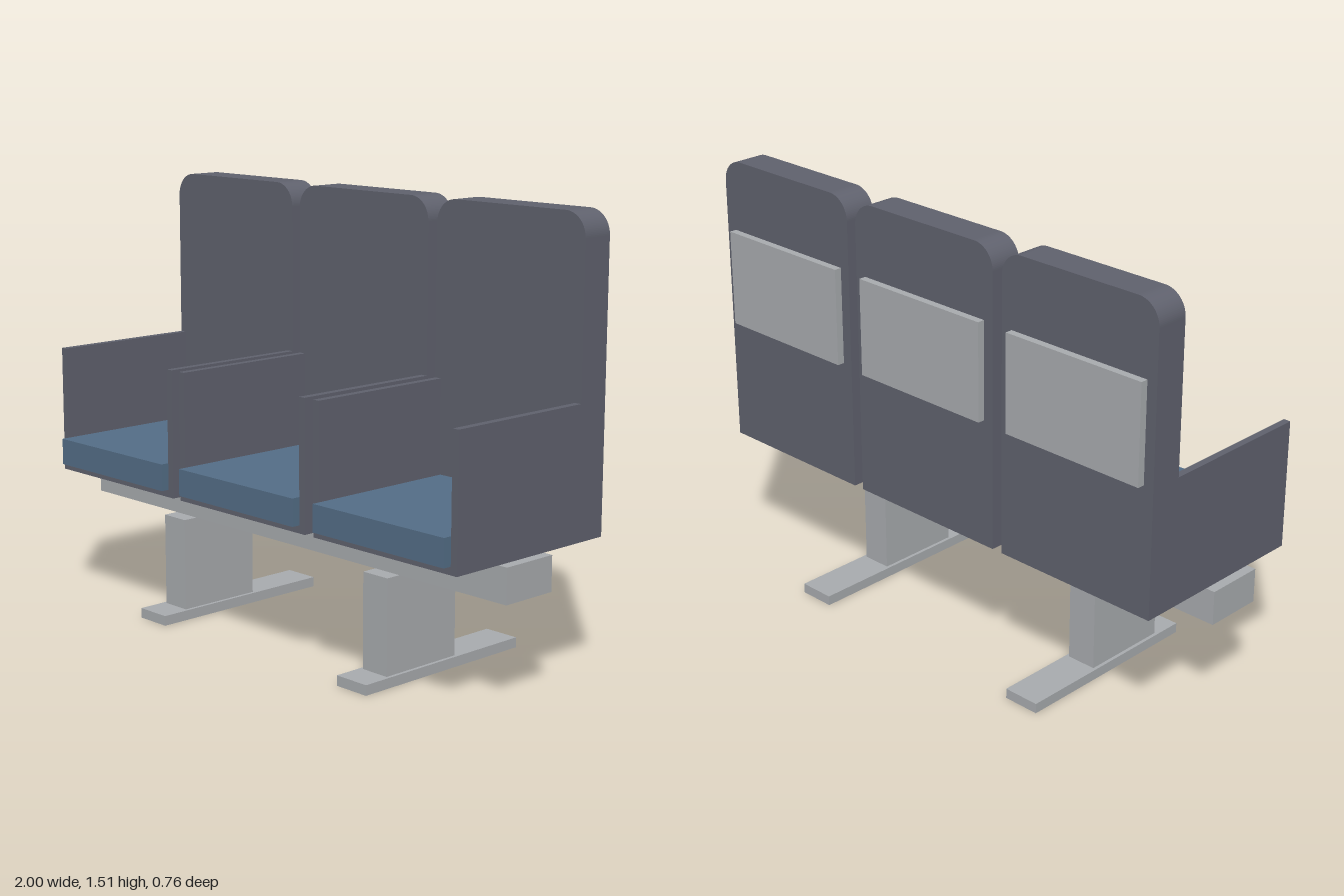
import * as THREE from 'three';

export function createModel() {
  const model = new THREE.Group();
  model.name = 'benchSeating';
  const material = (name, color) => {
    const m = new THREE.MeshStandardMaterial({ color });
    m.name = name;
    return m;
  };
  const shell = material('darkGrey', 0x60626e);
  const metal = material('lightGrey', 0xa9acaf);
  const fabric = material('blue', 0x546e87);

  // Box given by its limits on each axis
  const box = (parent, name, mat, [x0, x1], [y0, y1], [z0, z1]) => {
    const mesh = new THREE.Mesh(new THREE.BoxGeometry(x1 - x0, y1 - y0, z1 - z0), mat);
    mesh.position.set((x0 + x1) / 2, (y0 + y1) / 2, (z0 + z1) / 2);
    mesh.name = name;
    parent.add(mesh);
  };

  // Backrest outline with rounded upper corners
  const w = 0.309, bottom = 0.478, top = 1.515, r = 0.08;
  const outline = new THREE.Shape();
  outline.moveTo(-w, bottom);
  outline.lineTo(w, bottom);
  outline.lineTo(w, top - r);
  outline.absarc(w - r, top - r, r, 0, Math.PI / 2);
  outline.lineTo(-w + r, top);
  outline.absarc(-w + r, top - r, r, Math.PI / 2, Math.PI);
  outline.closePath();
  const backGeometry = new THREE.ExtrudeGeometry(outline, {
    depth: 0.117, bevelEnabled: false, curveSegments: 12,
  });

  // Three identical seats
  for (const x of [-0.658, -0.001, 0.657]) {
    const seat = new THREE.Group();
    seat.name = 'seat';
    seat.position.x = x;
    const back = new THREE.Mesh(backGeometry, shell);
    back.name = 'backrest';
    back.position.z = -0.315;
    seat.add(back);
    box(seat, 'seatBase', shell, [-0.284, 0.284], [bottom, 0.504], [-0.198, 0.355]);
    box(seat, 'rightArmPanel', shell, [-w, -0.284], [bottom, 0.922], [-0.198, 0.355]);
    box(seat, 'leftArmPanel', shell, [0.284, w], [bottom, 0.922], [-0.198, 0.355]);
    box(seat, 'cushion', fabric, [-0.282, 0.282], [0.504, 0.597], [-0.198, 0.383]);
    box(seat, 'rearPanel', metal, [-0.272, 0.268], [0.925, 1.265], [-0.341, -0.315]);
    model.add(seat);
  }

  // Cross beam and its two supports
  box(model, 'beam', metal, [-1, 1], [0.36, bottom], [-0.037, 0.171]);
  for (const x of [-0.503, 0.496]) {
    const support = new THREE.Group();
    support.name = 'support';
    support.position.x = x;
    box(support, 'leg', metal, [-0.054, 0.054], [0.035, 0.36], [-0.09, 0.225]);
    box(support, 'foot', metal, [-0.066, 0.066], [0, 0.035], [-0.382, 0.329]);
    model.add(support);
  }
  return model;
}
